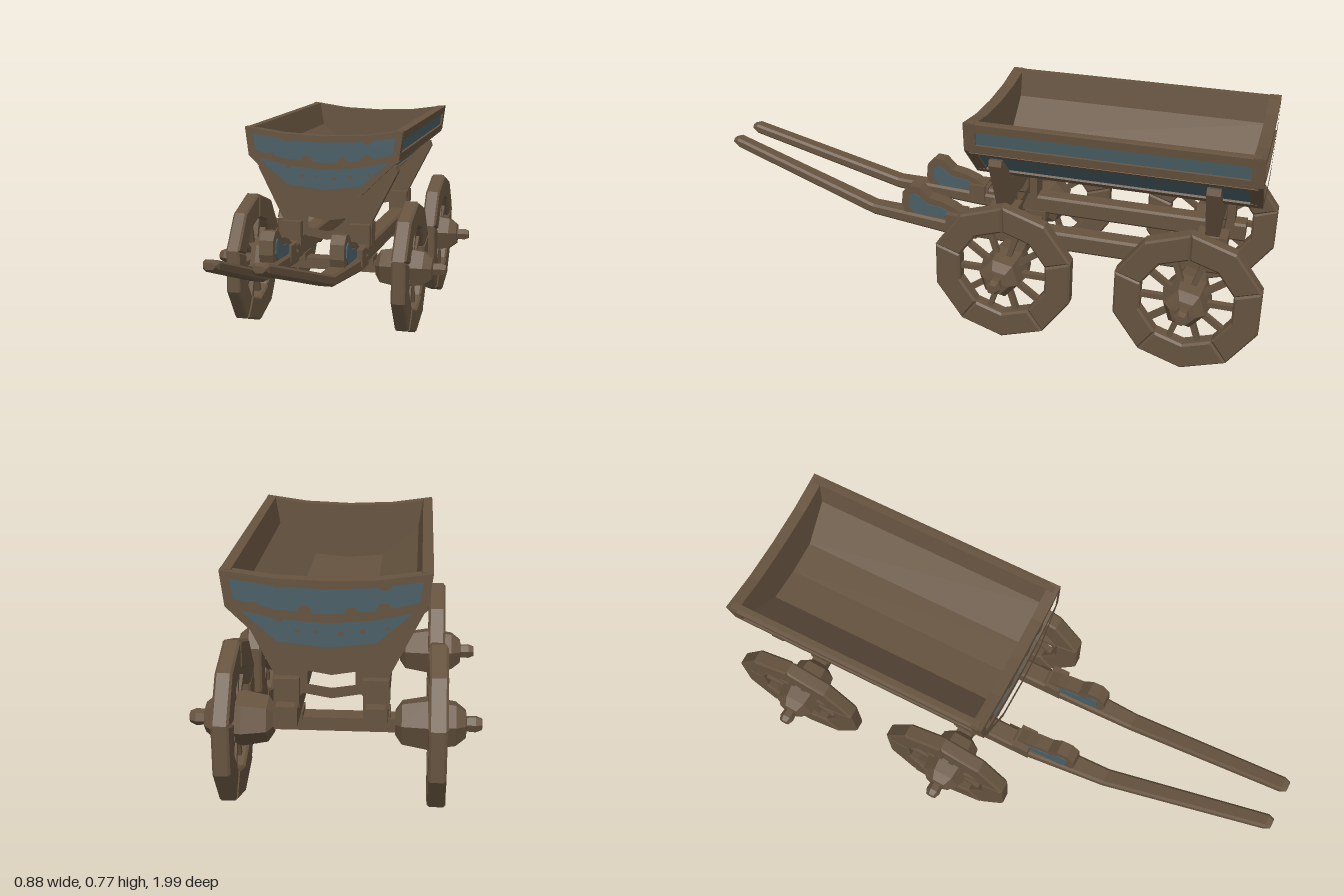
import * as THREE from 'three';

const wood = new THREE.MeshStandardMaterial({ color: 0x66533f });
wood.name = 'brown wood';
const paint = new THREE.MeshStandardMaterial({ color: 0x4a5f66 });
paint.name = 'faded blue paint';

const flat = (g) => {
  const f = g.index ? g.toNonIndexed() : g;
  f.computeVertexNormals();
  return f;
};

function add(parent, name, geometry, material = wood) {
  const mesh = new THREE.Mesh(flat(geometry), material);
  mesh.name = name;
  parent.add(mesh);
  return mesh;
}

const toShape = (pts) => new THREE.Shape(pts.map(([x, y]) => new THREE.Vector2(x, y)));

// Complete a half outline that starts and ends on the centre line
const mirrored = (half) => [...half, ...half.slice(1, -1).reverse().map(([x, y]) => [-x, y])];

function slab(shape, depth, z0, bevel = 0) {
  const g = new THREE.ExtrudeGeometry(shape, {
    depth: depth - 2 * bevel, bevelEnabled: bevel > 0, bevelSize: bevel,
    bevelThickness: bevel, bevelOffset: -bevel, bevelSegments: 1,
  });
  return g.translate(0, 0, z0 + bevel);
}

// Plank lofted through rectangular sections [x, y, z, width, height], front to back
function beam(sections, c = 0.008) {
  const pos = [], idx = [], n = 8;
  for (const [x, y, z, w, h] of sections) {
    const a = w / 2, b = h / 2;
    for (const [u, v] of [[a, b - c], [a - c, b], [c - a, b], [-a, b - c], [-a, c - b], [c - a, -b], [a - c, -b], [a, c - b]])
      pos.push(x + u, y + v, z);
  }
  const last = (sections.length - 1) * n;
  for (let s = 0; s < last; s += n)
    for (let i = 0; i < n; i++) {
      const j = (i + 1) % n;
      idx.push(s + i, s + n + i, s + j, s + j, s + n + i, s + n + j);
    }
  for (let i = 1; i < n - 1; i++) idx.push(0, i, i + 1, last, last + i + 1, last + i);
  const g = new THREE.BufferGeometry();
  g.setAttribute('position', new THREE.Float32BufferAttribute(pos, 3));
  g.setIndex(idx);
  return g;
}

// Board running along z whose section follows a to b, raised by t
function strip(a, b, t, z0, z1) {
  const dx = b[0] - a[0], dy = b[1] - a[1], l = Math.hypot(dx, dy);
  const nx = (-dy / l) * t, ny = (dx / l) * t;
  return slab(toShape([a, b, [b[0] + nx, b[1] + ny], [a[0] + nx, a[1] + ny]]), z1 - z0, z0);
}

function makeBody() {
  const body = new THREE.Group();
  body.name = 'cartBody';
  const zBack = -0.95, zFront = 0.02;

  // Open trough
  add(body, 'trough', slab(toShape(mirrored([[0, 0.532], [0.135, 0.547], [0.266, 0.67], [0.28, 0.772],
    [0.26, 0.772], [0.245, 0.68], [0.12, 0.57], [0, 0.56]])), 0.94, -0.935));

  // Side panels and rails
  for (const s of [1, -1]) {
    const board = (name, a, b, t, m) =>
      add(body, name, strip([a[0] * s, a[1]], [b[0] * s, b[1]], t * s, -0.935, 0.005), m);
    board('sidePanelUpper', [0.269, 0.69], [0.277, 0.75], -0.004, paint);
    board('sidePanelLower', [0.15, 0.561], [0.256, 0.661], -0.004, paint);
    board('topRail', [0.276, 0.744], [0.28, 0.772], -0.012);
    board('middleRail', [0.265, 0.666], [0.2695, 0.695], -0.012);
    board('middleRailUnder', [0.255, 0.66], [0.266, 0.67], -0.012);
    board('bottomRail', [0.135, 0.547], [0.155, 0.566], -0.012);
  }

  // Ends: board, paint and a raised frame with two openings
  const outline = mirrored([[0, 0.747], [0.15, 0.753], [0.291, 0.773], [0.278, 0.67], [0.142, 0.538], [0, 0.522]]);
  const upper = mirrored([[0, 0.724], [0.145, 0.731], [0.266, 0.75], [0.256, 0.688], [0.14, 0.66], [0, 0.649]]);
  const lower = mirrored([[0, 0.627], [0.13, 0.638], [0.24, 0.661], [0.225, 0.644], [0.138, 0.568], [0, 0.552]]);
  const frame = toShape(outline);
  for (const h of [upper, lower]) frame.holes.push(toShape(h));
  const chips = [[-0.13, 0.737, 0.02], [0.16, 0.737, 0.022], [-0.2, 0.668, 0.018], [-0.06, 0.658, 0.022],
    [0.07, 0.658, 0.018], [0.16, 0.666, 0.024], [-0.08, 0.6, 0.008], [-0.03, 0.598, 0.006],
    [0.04, 0.594, 0.01], [0.1, 0.602, 0.009], [-0.13, 0.635, 0.012], [0.17, 0.612, 0.007]];
  for (const [end, z] of [[1, zFront], [-1, zBack]]) {
    const g = new THREE.Group();
    g.name = end > 0 ? 'frontEnd' : 'backEnd';
    g.position.z = z;
    if (end < 0) g.rotation.y = Math.PI;
    add(g, 'endBoard', slab(toShape(outline), 0.024, -0.04));
    add(g, 'endFrame', slab(frame, 0.016, -0.016));
    for (const h of [upper, lower]) add(g, 'endPaint', slab(toShape(h), 0.005, -0.016), paint);
    for (const [x, y, r] of chips)
      add(g, 'wornPaint', new THREE.CircleGeometry(r, 6).scale(1, 0.8, 1).translate(x, y, -0.01));
    body.add(g);
  }
  body.position.x = 0.004;
  return body;
}

function makeWheel() {
  const wheel = new THREE.Group();
  const sides = 10, felloes = 5, step = (2 * Math.PI) / sides;
  // Rim made of five two-sided bent boards
  for (let f = 0; f < felloes; f++) {
    const ring = (r, i) => [r * Math.cos((2 * f + i) * step), r * Math.sin((2 * f + i) * step)];
    const pts = [0, 1, 2].map((i) => ring(0.25, i)).concat([2, 1, 0].map((i) => ring(0.158, i)));
    const d = 0.052 + 0.004 * (f % 2);
    add(wheel, 'rimSegment', slab(toShape(pts), d, -d / 2, 0.007));
  }
  for (let i = 0; i < sides; i++)
    add(wheel, 'spoke', new THREE.BoxGeometry(0.13, 0.018, 0.022).translate(0.115, 0, 0).rotateZ((i + 0.5) * step));
  const profile = [[0, -0.125], [0.04, -0.125], [0.07, -0.105], [0.084, -0.03], [0.07, 0.055], [0.045, 0.085],
    [0.024, 0.088], [0.026, 0.115], [0.018, 0.134], [0, 0.134]].map(([r, y]) => new THREE.Vector2(r, y));
  add(wheel, 'hub', new THREE.LatheGeometry(profile, 6).rotateX(Math.PI / 2));
  return wheel;
}

function makeBolster(z) {
  const g = new THREE.Group();
  g.name = 'bolster';
  const shape = toShape(mirrored([[0, 0.512], [0.125, 0.522], [0.24, 0.634], [0.256, 0.636], [0.263, 0.615],
    [0.168, 0.425], [0.17, 0.42], [0.17, 0.34], [0.11, 0.34], [0.085, 0.367], [0, 0.352]]));
  shape.holes.push(toShape(mirrored([[0, 0.425], [0.07, 0.437], [0.07, 0.396], [0, 0.385]])));
  add(g, 'bolsterPlate', slab(shape, 0.045, -0.0225));
  for (const s of [1, -1])
    add(g, 'bolsterBlock', new THREE.BoxGeometry(0.075, 0.09, 0.1).translate(s * 0.13, 0.375, 0));
  g.position.z = z;
  return g;
}

function makeShaft(s) {
  const g = new THREE.Group();
  g.name = s > 0 ? 'leftShaft' : 'rightShaft';
  const o = 0.006, tip = s > 0 ? 0.09 : -0.055;
  add(g, 'shaftPole', beam([[tip, 0.505, 1, 0.036, 0.02], [tip, 0.502, 0.98, 0.05, 0.036],
    [s * 0.118 + o, 0.328, 0.42, 0.06, 0.04], [s * 0.13 + o, 0.308, 0.1, 0.08, 0.05], [s * 0.13 + o, 0.305, 0.02, 0.08, 0.05]]));
  // Curved bracket with painted cheeks
  const side = (pts, t) => slab(toShape(pts), t, -t / 2).rotateY(-Math.PI / 2).translate(s * 0.125 + o, 0, 0);
  add(g, 'shaftBracket', side([[0.29, 0.33], [0.305, 0.37], [0.3, 0.42], [0.272, 0.448], [0.235, 0.445],
    [0.2, 0.41], [0.15, 0.4], [0.11, 0.385], [0.06, 0.355], [0.06, 0.32]], 0.05));
  add(g, 'bracketPaint', side([[0.255, 0.342], [0.277, 0.37], [0.275, 0.408], [0.255, 0.42], [0.235, 0.41],
    [0.205, 0.385], [0.15, 0.378], [0.11, 0.36], [0.12, 0.342]], 0.058), paint);
  add(g, 'bracketFoot', new THREE.BoxGeometry(0.088, 0.06, 0.06).translate(s * 0.13 + o, 0.335, 0.1));
  return g;
}

export function createModel() {
  const model = new THREE.Group();
  model.name = 'cart';
  model.add(makeBody(), makeBolster(-0.08), makeBolster(-0.8));

  // Undercarriage rails and shafts
  for (const s of [1, -1]) {
    add(model, 'rail', beam([[s * 0.13, 0.315, 0.13, 0.07, 0.068], [s * 0.13, 0.315, -0.89, 0.07, 0.068]]));
    model.add(makeShaft(s));
  }

  // Axles with a wheel on each end
  for (const [name, z] of [['front', -0.125], ['rear', -0.75]]) {
    add(model, name + 'Axle', new THREE.BoxGeometry(0.5, 0.042, 0.06).translate(0, 0.25, z));
    for (const s of [1, -1]) {
      const wheel = makeWheel();
      wheel.name = name + (s > 0 ? 'Left' : 'Right') + 'Wheel';
      wheel.position.set(s > 0 ? 0.303 : -0.31, 0.25, z);
      wheel.rotation.set(0, (s * Math.PI) / 2, Math.PI / 10);
      model.add(wheel);
    }
    for (const s of [1, -1])
      add(model, 'axleBlock', new THREE.BoxGeometry(0.08, 0.03, 0.08).translate(s * 0.13, 0.275, z));
  }
  return model;
}
